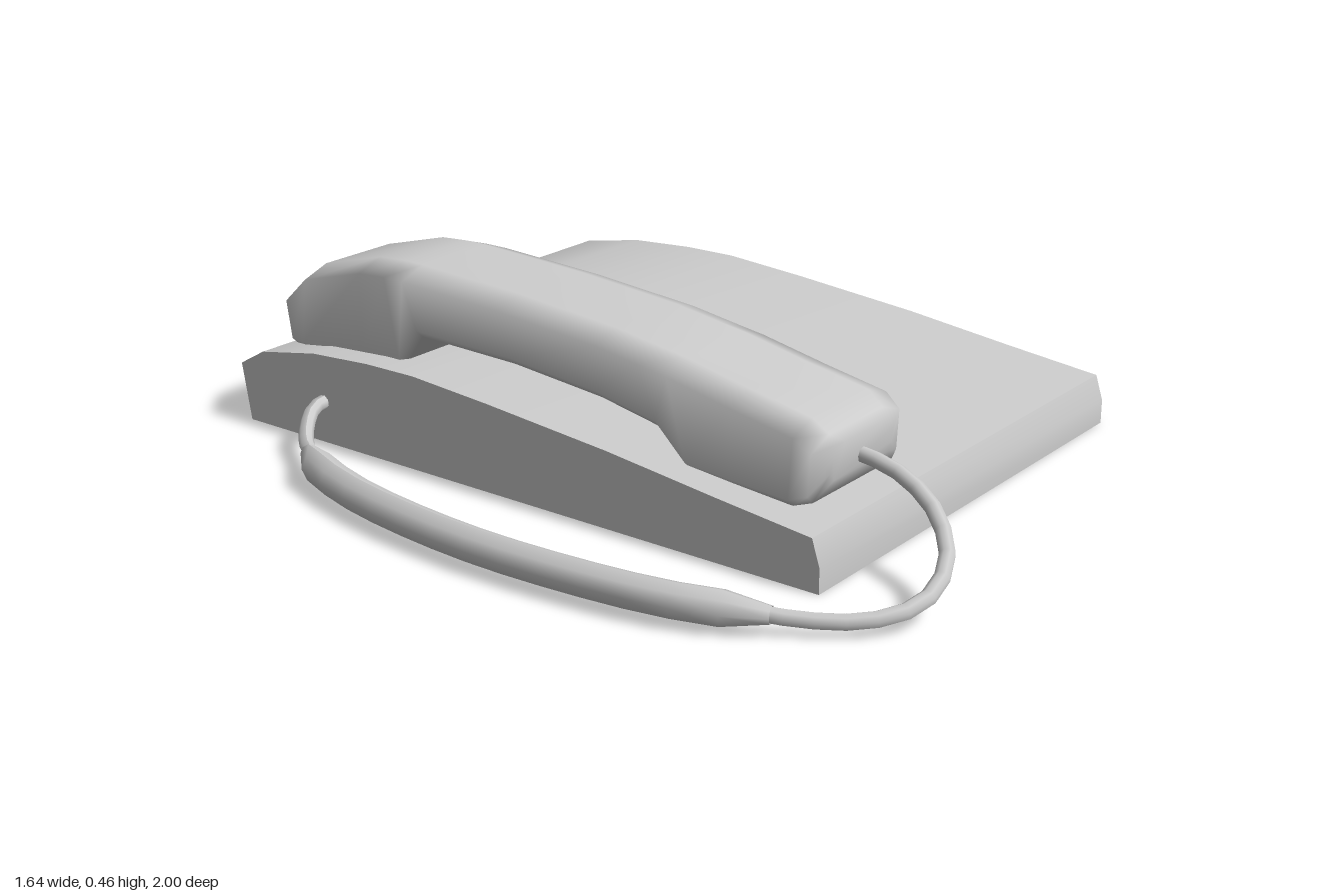
import * as THREE from 'three';
import { toCreasedNormals } from 'three/addons/utils/BufferGeometryUtils.js';

const material = new THREE.MeshStandardMaterial({ color: 0xcccccc, side: THREE.DoubleSide });

function part(name, geometry) {
  const mesh = new THREE.Mesh(geometry, material);
  mesh.name = name;
  return mesh;
}

// Skin a list of equal-length rings; optionally close the rings and cap the ends.
function loft(rings, closed) {
  const n = rings[0].length, pos = rings.flat(2), index = [];
  for (let i = 0; i < rings.length - 1; i++) {
    for (let j = 0; j < (closed ? n : n - 1); j++) {
      const k = (j + 1) % n, a = i * n + j, b = i * n + k;
      index.push(a, b, a + n, b, b + n, a + n);
    }
  }
  if (closed) {
    const last = (rings.length - 1) * n;
    for (let j = 1; j < n - 1; j++) {
      index.push(0, j + 1, j, last, last + j, last + j + 1);
    }
  }
  const g = new THREE.BufferGeometry();
  g.setAttribute('position', new THREE.Float32BufferAttribute(pos, 3));
  g.setIndex(index);
  g.computeVertexNormals();
  return g;
}

// Base: a shell open underneath, with side walls cut to the same profile [z, y].
const X0 = -0.455, X1 = 0.815;
const profile = [
  [0.73, 0], [0.73, 0.06], [0.71, 0.122], [0.46, 0.15], [0.17, 0.185], [-0.18, 0.217],
  [-0.41, 0.234], [-0.56, 0.233], [-0.74, 0.222], [-0.92, 0.19], [-1, 0.145], [-0.975, 0],
];

function createBase() {
  const base = new THREE.Group();
  base.name = 'base';
  const sheet = loft([X0, X1].map((x) => profile.map(([z, y]) => [x, y, z])), false);
  base.add(part('baseTop', toCreasedNormals(sheet, 0.65)));
  const wall = new THREE.Shape(profile.map(([z, y]) => new THREE.Vector2(-z, y)));
  for (const [name, x] of [['rightWall', X0], ['leftWall', X1]]) {
    const mesh = part(name, new THREE.ShapeGeometry(wall));
    mesh.rotation.y = Math.PI / 2;
    mesh.position.x = x;
    base.add(mesh);
  }
  return base;
}

// Handset stations from mouthpiece to earpiece: [top z, top y, bottom z, bottom y, half width].
const stations = [
  [0.67, 0.27, 0.665, 0.19, 0.12],
  [0.65, 0.29, 0.645, 0.15, 0.175],
  [0.61, 0.32, 0.60, 0.135, 0.183],
  [0.45, 0.35, 0.45, 0.145, 0.183],
  [0.28, 0.385, 0.33, 0.155, 0.183],
  [0.20, 0.397, 0.25, 0.232, 0.183],
  [0.085, 0.415, 0.085, 0.265, 0.183],
  [-0.20, 0.44, -0.17, 0.29, 0.183],
  [-0.50, 0.455, -0.46, 0.297, 0.183],
  [-0.56, 0.455, -0.52, 0.21, 0.183],
  [-0.64, 0.45, -0.64, 0.205, 0.183],
  [-0.83, 0.40, -0.85, 0.19, 0.183],
  [-0.91, 0.33, -0.895, 0.19, 0.175],
  [-0.93, 0.29, -0.915, 0.22, 0.12],
];

function createHandset() {
  // Cross-section: chamfered top, lightly eased bottom [width factor, edge, inset].
  const section = [
    [-0.88, 0, 0], [-1, 0, 0.02], [-1, 1, -0.025], [-0.6, 1, 0],
    [0.6, 1, 0], [1, 1, -0.025], [1, 0, 0.02], [0.88, 0, 0],
  ];
  const rings = stations.map(([zt, yt, zb, yb, w]) => section.map(([u, top, inset]) =>
    [-0.202 + u * w, (top ? yt : yb) + inset, top ? zt : zb]));
  return part('handset', loft(rings, true));
}

// A cord along a path; taper narrows its two end rings.
function cord(name, points, radius, segments, taper = 1) {
  const curve = new THREE.CatmullRomCurve3(points.map((p) => new THREE.Vector3(...p)));
  const sides = 8, g = new THREE.TubeGeometry(curve, segments, radius, sides);
  const pos = g.attributes.position, v = new THREE.Vector3();
  for (const ring of [0, segments]) {
    const centre = curve.getPointAt(ring / segments);
    for (let j = 0; j <= sides; j++) {
      const k = ring * (sides + 1) + j;
      v.fromBufferAttribute(pos, k).sub(centre).multiplyScalar(taper).add(centre);
      pos.setXYZ(k, v.x, v.y, v.z);
    }
  }
  g.computeVertexNormals();
  return part(name, g);
}

export function createModel() {
  const group = new THREE.Group();
  group.name = 'telephone';
  group.add(createBase(), createHandset());

  // Thin lead out of the mouthpiece, thick coiled stretch, thin lead into the base
  group.add(
    cord('handsetLead', [
      [-0.2, 0.22, 0.64], [-0.207, 0.205, 0.75], [-0.25, 0.165, 0.87], [-0.32, 0.11, 0.95],
      [-0.4, 0.07, 0.977], [-0.48, 0.048, 0.968], [-0.56, 0.034, 0.91], [-0.63, 0.034, 0.81],
      [-0.68, 0.045, 0.72],
    ], 0.018, 14),
    cord('coiledCord', [
      [-0.67, 0.045, 0.76], [-0.745, 0.05, 0.55], [-0.78, 0.05, 0.22], [-0.775, 0.05, -0.03],
      [-0.73, 0.05, -0.33], [-0.66, 0.05, -0.53], [-0.615, 0.05, -0.6],
    ], 0.04, 14, 0.5),
    cord('baseLead', [
      [-0.63, 0.05, -0.57], [-0.585, 0.055, -0.64], [-0.53, 0.08, -0.69],
      [-0.49, 0.098, -0.71], [-0.445, 0.105, -0.713],
    ], 0.018, 8),
  );
  return group;
}
